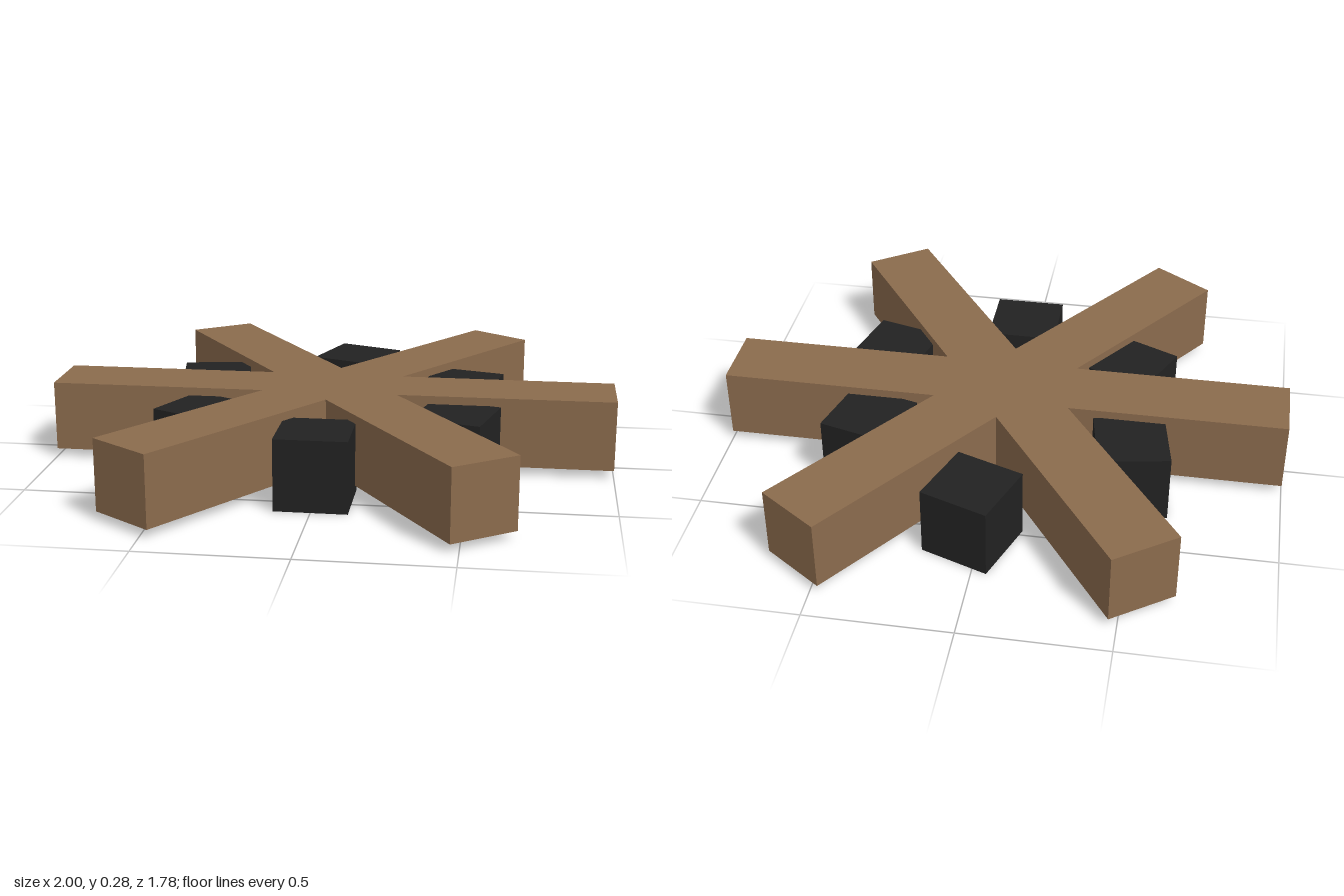
import * as THREE from 'three';

const SIZE = 0.248; // shared thickness of beams and blocks

export function createModel() {
  const model = new THREE.Group();
  model.name = 'crossedBeams';

  const wood = new THREE.MeshStandardMaterial({ color: 0x8b6b4d });
  wood.name = 'brown wood';
  const coal = new THREE.MeshStandardMaterial({ color: 0x222222 });
  coal.name = 'charcoal black';

  const add = (name, geometry, material, x, y, z, degrees) => {
    const mesh = new THREE.Mesh(geometry, material);
    mesh.name = name;
    mesh.position.set(x, y, z);
    mesh.rotation.y = THREE.MathUtils.degToRad(degrees);
    model.add(mesh);
  };

  // Three long beams crossing at the centre
  const beam = new THREE.BoxGeometry(2, SIZE, SIZE);
  [0, 55, -55].forEach((angle, i) => add(`beam${i + 1}`, beam, wood, 0, 0.153, 0, angle));

  // Loose blocks on the ground, one in each gap: x, z, turn
  const block = new THREE.BoxGeometry(SIZE, SIZE, SIZE);
  [
    [0, 0.473, 0],
    [0.45, 0.222, -15],
    [0.449, -0.226, -15],
    [0.024, -0.554, -20],
    [-0.472, -0.229, 10],
    [-0.424, 0.247, -25],
  ].forEach(([x, z, turn], i) => add(`coalBlock${i + 1}`, block, coal, x, SIZE / 2, z, turn));

  return model;
}
